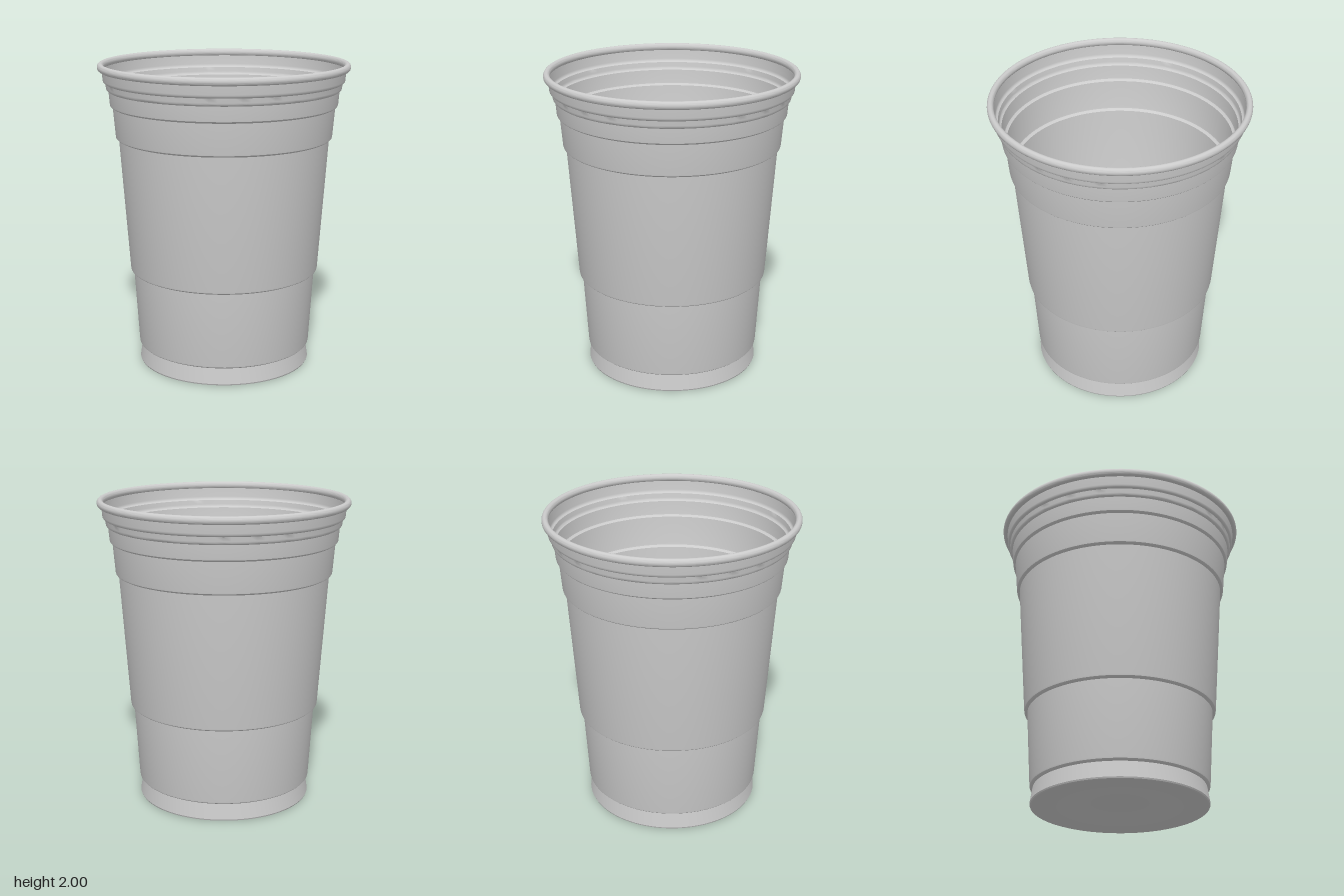
import * as THREE from 'three';
import { toCreasedNormals } from 'three/addons/utils/BufferGeometryUtils.js';

const SEGMENTS = 96;
const WALL = 0.011;

// Each step: height, radius just below, radius just above
const STEPS = [
  [0.12, 0.552, 0.572],
  [0.63, 0.602, 0.623],
  [1.515, 0.684, 0.704],
  [1.725, 0.72, 0.738],
  [1.83, 0.745, 0.76],
  [1.88, 0.764, 0.78],
];

// Wall line from foot to rim, with a small rounded shoulder at each step
function wallProfile(offset) {
  const pts = [];
  for (const [y, below, above] of STEPS) {
    const d = above - below;
    pts.push([below - offset, y - 0.006]);
    pts.push([below + d * 0.6 - offset, y]);
    pts.push([above - d * 0.1 - offset, y + 0.006]);
    pts.push([above - offset, y + 0.016]);
  }
  return pts;
}

function lathe(name, pairs, material) {
  const points = pairs.map(([r, y]) => new THREE.Vector2(r, y));
  const geometry = toCreasedNormals(new THREE.LatheGeometry(points, SEGMENTS), 0.55);
  const mesh = new THREE.Mesh(geometry, material);
  mesh.name = name;
  return mesh;
}

export function createModel() {
  const group = new THREE.Group();
  group.name = 'cup';
  const material = new THREE.MeshStandardMaterial({ color: 0xcccccc, side: THREE.DoubleSide });

  // Outer and inner skins of the stepped wall
  const outer = [[0.556, 0], [0.564, 0.003], [0.568, 0.012], ...wallProfile(0), [0.785, 1.955]];
  const inner = [[0.557, WALL], ...wallProfile(WALL), [0.774, 1.955]];
  group.add(lathe('outerWall', outer, material));
  group.add(lathe('innerWall', inner.reverse(), material));

  // Floor with a raised centre, seen from below and from inside
  const floor = [[0, 0.03], [0.26, 0.03], [0.41, 0], [0.556, 0]];
  group.add(lathe('floorUnderside', floor, material));
  const floorTop = floor.map(([r, y]) => [r, y + WALL]).reverse();
  group.add(lathe('floorTop', floorTop, material));

  // Rolled rim: an oval bead around the mouth
  const bead = [];
  for (let i = 0; i <= 20; i++) {
    const a = (i / 20) * Math.PI * 2 - Math.PI / 2;
    bead.push([0.793 + 0.021 * Math.cos(a), 1.975 + 0.025 * Math.sin(a)]);
  }
  group.add(lathe('rolledRim', bead, material));

  return group;
}
